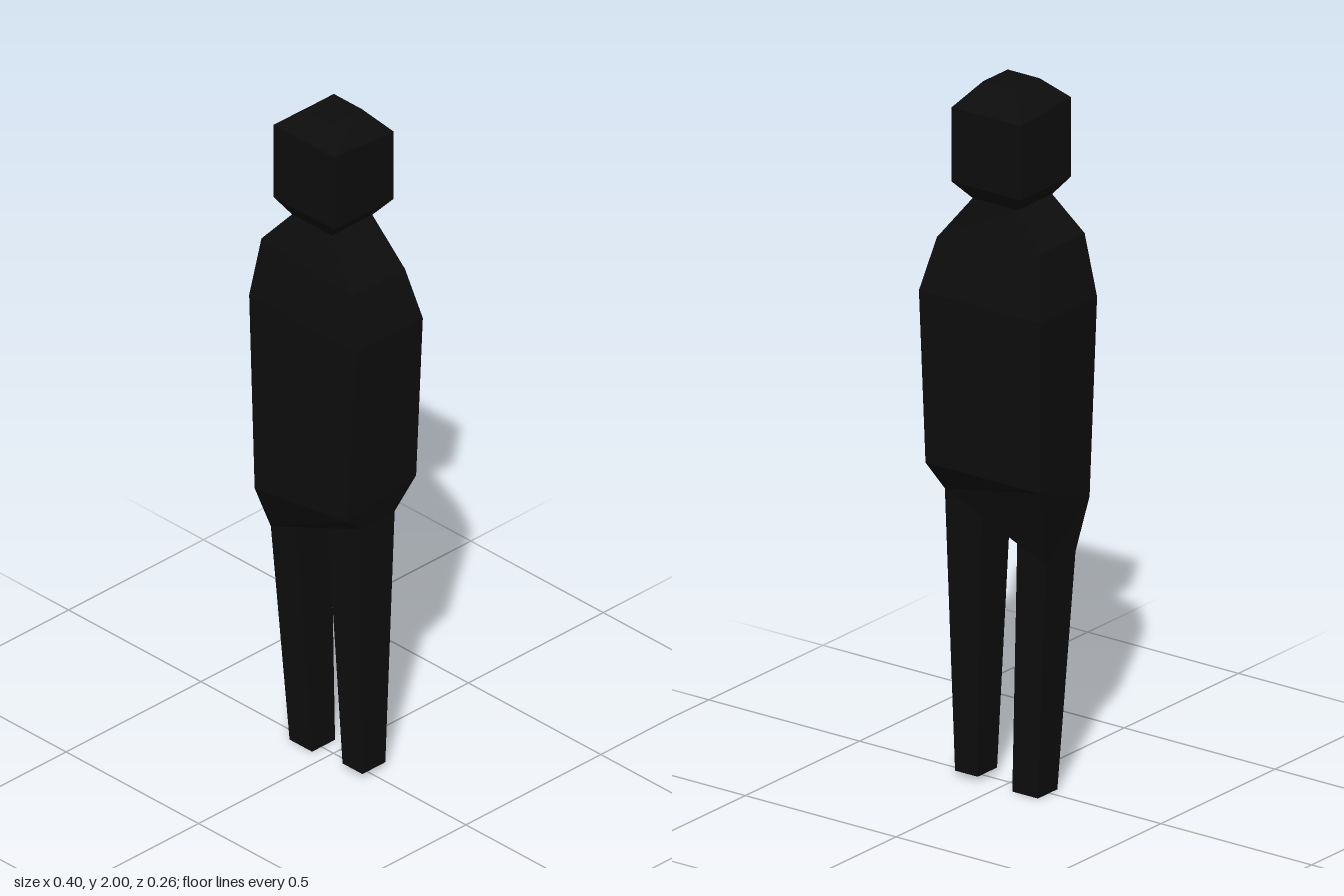
import * as THREE from 'three';

const black = new THREE.MeshStandardMaterial({ color: 0x0d0d0d, flatShading: true });
black.name = 'matte black';

// Four-cornered section: x range, z range, height at the -x and +x sides
function ring(x0, x1, z0, z1, yR, yL = yR) {
  return [[x0, yR, z1], [x1, yL, z1], [x1, yL, z0], [x0, yR, z0]];
}

// Skins four-cornered sections from bottom to top and caps both ends
function loft(name, rings) {
  const pos = [];
  const quad = (a, b, c, d) => pos.push(...a, ...b, ...c, ...a, ...c, ...d);
  for (let i = 0; i < rings.length - 1; i++) {
    const lo = rings[i], hi = rings[i + 1];
    for (let k = 0; k < 4; k++) {
      const n = (k + 1) % 4;
      quad(lo[k], lo[n], hi[n], hi[k]);
    }
  }
  const b = rings[0], t = rings[rings.length - 1];
  quad(b[3], b[2], b[1], b[0]);
  quad(t[0], t[1], t[2], t[3]);
  const geo = new THREE.BufferGeometry();
  geo.setAttribute('position', new THREE.Float32BufferAttribute(pos, 3));
  geo.computeVertexNormals();
  const mesh = new THREE.Mesh(geo, black);
  mesh.name = name;
  return mesh;
}

export function createModel() {
  const model = new THREE.Group();
  model.name = 'figure';

  // Faceted head tapering to the neck
  model.add(loft('head', [
    ring(-0.09, 0.06, -0.085, 0.065, 1.67),
    ring(-0.13, 0.10, -0.125, 0.095, 1.72),
    [[-0.13, 1.945, 0.095], [0.10, 1.945, 0.095], [0.10, 1.93, -0.125], [-0.13, 1.93, -0.125]],
    ring(-0.065, 0.04, -0.065, 0.042, 2),
  ]));

  // Cloaked torso with a slanted hem
  model.add(loft('torso', [
    ring(-0.16, 0.175, -0.055, 0.075, 0.67, 0.81),
    [[-0.165, 0.81, 0.13], [0.18, 0.86, 0.13], [0.19, 0.9, -0.12], [-0.19, 0.9, -0.12]],
    ring(-0.202, 0.202, -0.133, 0.114, 1.39),
    ring(-0.175, 0.165, -0.103, 0.095, 1.57, 1.54),
    ring(-0.09, 0.06, -0.085, 0.065, 1.67),
  ]));

  // Tapered legs, cut to meet the underside of the torso
  model.add(loft('rightLeg', [
    ring(-0.13, -0.045, -0.05, 0.035, 0),
    ring(-0.16, -0.065, -0.055, 0.075, 0.67, 0.71),
  ]));
  model.add(loft('leftLeg', [
    ring(0.07, 0.145, -0.05, 0.035, 0.015),
    ring(0.055, 0.175, -0.055, 0.075, 0.76, 0.81),
  ]));

  return model;
}
